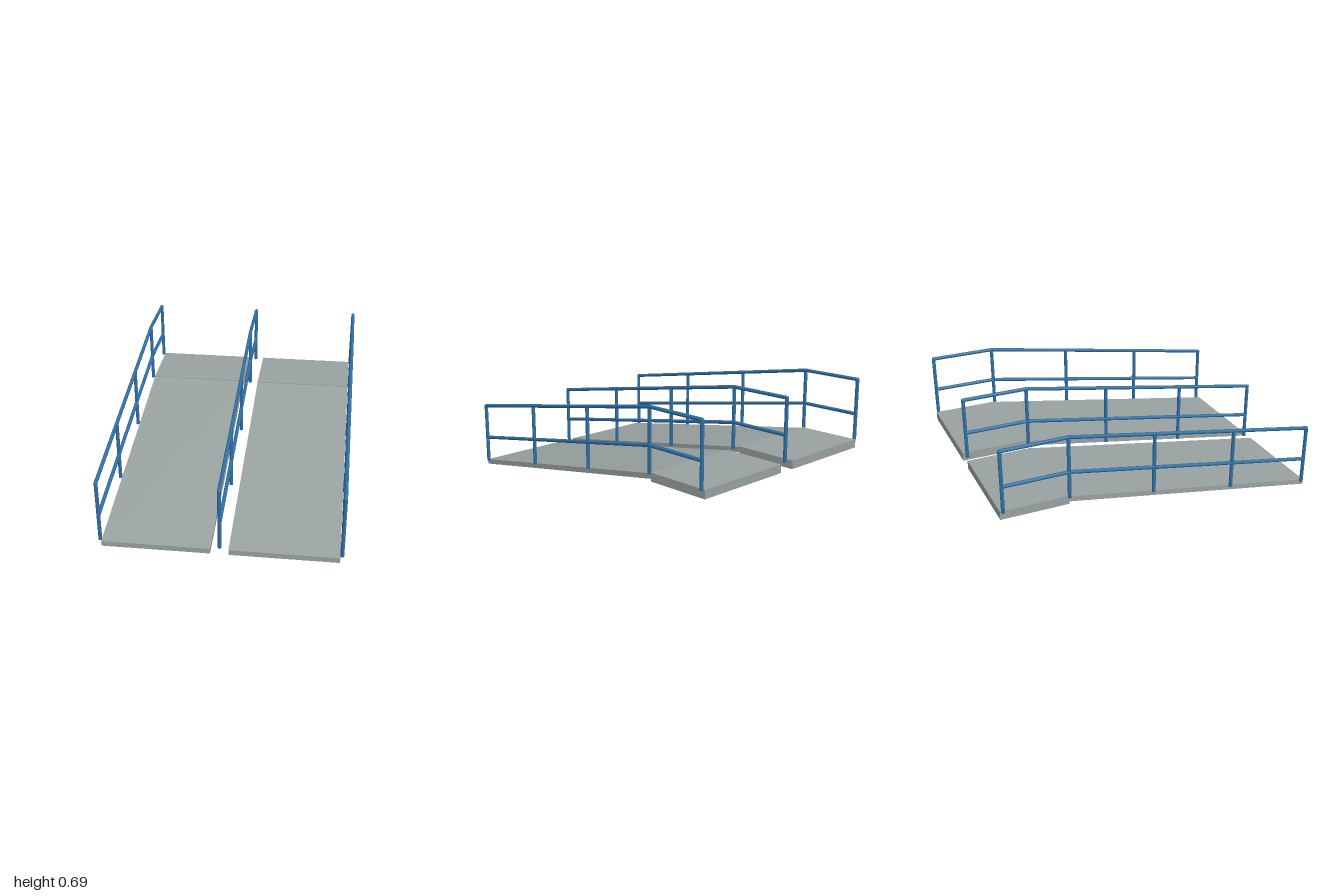
import * as THREE from 'three';

const concrete = new THREE.MeshStandardMaterial({ color: 0x99a2a1 });
concrete.name = 'concrete grey';
const paint = new THREE.MeshStandardMaterial({ color: 0x2f6fa3 });
paint.name = 'railing blue';

const R = 0.011;          // tube radius
const SLAB_IN = 0.052, SLAB_OUT = 0.68;
const BEND_Z = -0.595;    // where the slope meets the landing

// Slab extruded across x from a side profile of [z, y] points
function slab(name, profile) {
  const shape = new THREE.Shape(profile.map(([z, y]) => new THREE.Vector2(-z, y)));
  const geo = new THREE.ExtrudeGeometry(shape, { depth: SLAB_OUT - SLAB_IN, bevelEnabled: false });
  geo.translate(0, 0, -(SLAB_OUT - SLAB_IN) / 2);
  geo.rotateY(Math.PI / 2);
  const mesh = new THREE.Mesh(geo, concrete);
  mesh.name = name;
  return mesh;
}

// Round bar between two [z, y] points
function bar(name, [z0, y0], [z1, y1]) {
  const a = new THREE.Vector3(0, y0, z0), b = new THREE.Vector3(0, y1, z1);
  const dir = b.clone().sub(a);
  const mesh = new THREE.Mesh(new THREE.CylinderGeometry(R, R, dir.length(), 12), paint);
  mesh.position.copy(a).add(b).multiplyScalar(0.5);
  mesh.quaternion.setFromUnitVectors(new THREE.Vector3(0, 1, 0), dir.normalize());
  mesh.name = name;
  return mesh;
}

// Round joint closing the corner between bars
function joint(z, y) {
  const mesh = new THREE.Mesh(new THREE.SphereGeometry(R, 12, 8), paint);
  mesh.position.set(0, y, z);
  mesh.name = 'railJoint';
  return mesh;
}

function railing(name, x) {
  const group = new THREE.Group();
  group.name = name;
  const start = 0.978, end = -0.985;
  const baseY = z => 0.03 + 0.273 * Math.min(1, (start - z) / (start - BEND_Z));

  // Posts
  for (const z of [start, 0.454, -0.07, BEND_Z, end]) {
    group.add(bar('post', [z, baseY(z)], [z, baseY(z) + 0.379]));
  }
  // Handrail and middle rail
  for (const [label, h] of [['handrail', 0.379], ['middleRail', 0.163]]) {
    const pts = [start, BEND_Z, end].map(z => [z, baseY(z) + h]);
    group.add(bar(label, pts[0], pts[1]), bar(label, pts[1], pts[2]));
    pts.forEach(p => group.add(joint(...p)));
  }
  group.position.x = x;
  return group;
}

export function createModel() {
  const model = new THREE.Group();
  model.name = 'twinRamp';

  // Two lanes, each a sloping slab and a level landing
  for (const [side, s] of [['left', 1], ['right', -1]]) {
    const lane = new THREE.Group();
    lane.name = side + 'Lane';
    lane.add(
      slab('rampSlab', [[1, 0], [-0.6, 0.272], [-0.6, 0.304], [1, 0.032]]),
      slab('landing', [[-0.595, 0.255], [-1, 0.255], [-1, 0.307], [-0.595, 0.307]])
    );
    lane.position.x = s * (SLAB_IN + SLAB_OUT) / 2;
    model.add(lane);
  }

  // Railings on both outer edges and down the middle
  model.add(railing('leftRailing', 0.69), railing('middleRailing', 0), railing('rightRailing', -0.69));
  return model;
}
